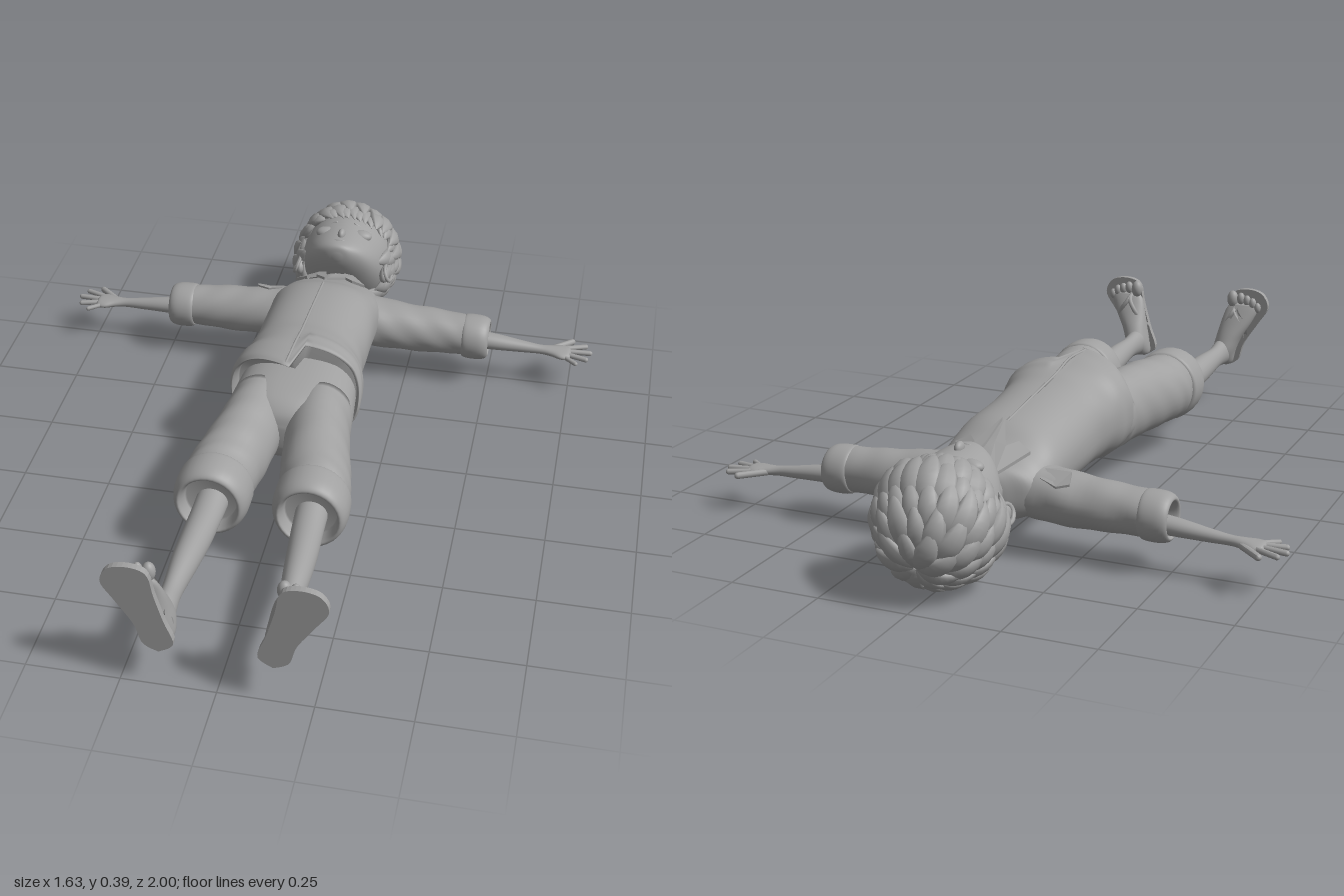
import * as THREE from 'three';

const V = (x, y, z) => new THREE.Vector3(x, y, z);
const clamp = THREE.MathUtils.clamp;

// Turn a closed geometry's faces outward (needed after mirroring)
function outward(geo) {
  const p = geo.attributes.position, ix = geo.index.array;
  const a = V(), b = V(), c = V();
  let vol = 0;
  for (let i = 0; i < ix.length; i += 3) {
    a.fromBufferAttribute(p, ix[i]);
    b.fromBufferAttribute(p, ix[i + 1]);
    c.fromBufferAttribute(p, ix[i + 2]);
    vol += a.dot(b.cross(c));
  }
  if (vol < 0) for (let i = 0; i < ix.length; i += 3) [ix[i], ix[i + 1]] = [ix[i + 1], ix[i]];
  geo.computeVertexNormals();
  return geo;
}

// Skin closed rings of points, with capped ends
function skin(rings) {
  const n = rings[0].length, pos = [], idx = [];
  rings.forEach(r => r.forEach(p => pos.push(p.x, p.y, p.z)));
  for (let i = 0; i < rings.length - 1; i++) for (let j = 0; j < n; j++) {
    const a = i * n + j, b = i * n + (j + 1) % n;
    idx.push(a, b, a + n, b, b + n, a + n);
  }
  [0, rings.length - 1].forEach((k, end) => {
    const mid = rings[k].reduce((s, p) => s.add(p), V()).divideScalar(n);
    const m = pos.length / 3;
    pos.push(mid.x, mid.y, mid.z);
    for (let j = 0; j < n; j++) {
      const a = k * n + j, b = k * n + (j + 1) % n;
      end ? idx.push(a, b, m) : idx.push(b, a, m);
    }
  });
  const g = new THREE.BufferGeometry();
  g.setAttribute('position', new THREE.Float32BufferAttribute(pos, 3));
  g.setIndex(idx);
  return outward(g);
}

// Smooth loft through sections [x, y, z, ru, rv]; axis is the direction of travel
function loft(axis, secs, { n = 32, e = 1, warp, fold = 0 } = {}) {
  const mid = new THREE.CatmullRomCurve3(secs.map(s => V(s[0], s[1], s[2])), false, 'catmullrom', 0.5);
  const rad = new THREE.CatmullRomCurve3(secs.map(s => V(s[3], s[4], 0)), false, 'catmullrom', 0.5);
  const steps = (secs.length - 1) * 5, rings = [];
  const pw = v => Math.sign(v) * Math.abs(v) ** e;
  for (let i = 0; i <= steps; i++) {
    const c = mid.getPoint(i / steps), r = rad.getPoint(i / steps), ring = [];
    for (let j = 0; j < n; j++) {
      const t = j / n * Math.PI * 2;
      const k = 1 + fold * Math.sin(i * 0.9 + 3 * Math.sin(t)) * Math.sin(2 * t + i * 0.3);
      const u = pw(Math.cos(t)) * r.x * k, v = pw(Math.sin(t)) * r.y * k;
      const p = c.clone().add(axis === 'z' ? V(u, v, 0) : axis === 'x' ? V(0, v, u) : V(u, 0, v));
      if (warp) warp(p);
      ring.push(p);
    }
    rings.push(ring);
  }
  return skin(rings);
}

const ball = (x, y, z, a, b, c) => new THREE.SphereGeometry(1, 20, 14).scale(a, b, c).translate(x, y, z);
const tube = (pts, r) => new THREE.TubeGeometry(new THREE.CatmullRomCurve3(pts), 24, r, 8);

function capsule(a, b, r) {
  const d = b.clone().sub(a), g = new THREE.CapsuleGeometry(r, d.length(), 6, 10);
  g.applyQuaternion(new THREE.Quaternion().setFromUnitVectors(V(0, 1, 0), d.normalize()));
  const m = a.clone().lerp(b, 0.5);
  return g.translate(m.x, m.y, m.z);
}

// Thin plate outlined in x and z, draped on a height rule
function drape(pts, height, thick) {
  const g = new THREE.ExtrudeGeometry(new THREE.Shape(pts.map(p => new THREE.Vector2(p[0], -p[1]))), { depth: thick, bevelEnabled: false });
  g.rotateX(-Math.PI / 2);
  const p = g.attributes.position;
  for (let i = 0; i < p.count; i++) p.setY(i, p.getY(i) + height(p.getX(i), p.getZ(i)));
  g.setIndex([...Array(p.count).keys()]);
  return outward(g);
}

// One leaf-shaped hair lock following the skull away from the crown
const hairMid = V(0, 0.185, -0.82), crown = V(0, -0.5, -0.866), crownUp = V(0, 0.866, -0.5);
function scalp(th, ph, k) {
  const d = crown.clone().multiplyScalar(Math.cos(th))
    .addScaledVector(crownUp, Math.sin(th) * Math.cos(ph)).addScaledVector(V(1, 0, 0), Math.sin(th) * Math.sin(ph));
  return d.multiply(V(0.15, 0.155, 0.155)).multiplyScalar(k).add(hairMid);
}
const hairy = p => p.z < (p.y > 0.25 ? -0.785 : p.y > 0.15 ? -0.715 : -0.665);
function lock(th0, th1, ph, width, lift) {
  const at = t => scalp(th0 + (th1 - th0) * t, ph + 0.22 * t * t, 0.96 + lift * Math.sin(t * 1.9));
  const rings = [];
  for (let i = 0; i <= 9; i++) {
    const t = i / 9, c = at(t), out = c.clone().sub(hairMid).normalize();
    const side = at(t + 0.02).sub(c).cross(out).normalize();
    const w = width * Math.max(0.03, Math.sin(Math.PI * (0.18 + 0.82 * t)) ** 0.8);
    rings.push([...Array(8).keys()].map(j => {
      const a = j * Math.PI / 4;
      return c.clone().addScaledVector(side, Math.cos(a) * w).addScaledVector(out, Math.sin(a) * w * 0.5);
    }));
  }
  return skin(rings);
}

export function createModel() {
  const model = new THREE.Group();
  const clay = new THREE.MeshStandardMaterial({ color: 0xa0a0a0 });
  clay.name = 'plain grey';
  const add = (name, geo) => {
    const m = new THREE.Mesh(geo, clay);
    m.name = name;
    model.add(m);
  };
  const pair = (name, geo) => {
    add(name + 'Left', geo);
    add(name + 'Right', outward(geo.clone().scale(-1, 1, 1)));
  };

  // Head, neck and face
  add('head', loft('z', [[0, .19, -.965, .03, .03], [0, .19, -.945, .085, .085], [0, .19, -.9, .125, .13], [0, .19, -.82, .14, .145],
    [0, .2, -.75, .13, .137], [0, .23, -.7, .113, .108], [0, .268, -.66, .083, .07], [0, .295, -.635, .043, .038], [0, .3, -.627, .01, .01]], { n: 40 }));
  add('neck', loft('z', [[0, .2, -.72, .045, .045], [0, .19, -.64, .037, .038], [0, .185, -.59, .04, .04], [0, .185, -.54, .07, .06]]));
  add('nose', ball(0, .338, -.703, .012, .018, .02));
  add('upperLip', ball(0, .332, -.668, .02, .009, .005));
  add('lowerLip', ball(0, .328, -.658, .015, .009, .005));
  pair('eyelid', ball(.055, .312, -.748, .034, .018, .023));
  pair('brow', capsule(V(.03, .333, -.782), V(.08, .306, -.78), .004));
  pair('ear', ball(.135, .19, -.735, .016, .026, .036));
  pair('earRim', new THREE.TorusGeometry(.025, .006, 8, 20).scale(1, 1.3, 1).rotateX(Math.PI / 2).rotateZ(-1.2).translate(.146, .195, -.737));

  // Hair in overlapping rows from the crown outward
  const rad = Math.PI / 180;
  [[2, 45, 9, .026, .13], [22, 68, 15, .028, .13], [45, 92, 20, .029, .13], [66, 114, 22, .029, .13], [88, 135, 22, .027, .12], [104, 146, 20, .024, .11]]
    .forEach(([a, b, count, w, lift], row) => {
      for (let i = 0; i < count; i++) {
        const ph = (i + row * 0.5) / count * Math.PI * 2, vary = Math.sin(i * 7.3 + row * 2.1);
        let end = b + vary * 6;
        while (end > a + 12 && !hairy(scalp(end * rad, ph + .22, 1.05))) end -= 2;
        if (end > a + 13) add('hairLock', lock(a * rad, end * rad, ph, w * (1 + vary * .15), lift + vary * .02));
      }
    });

  // Shirt body with a longer right front panel
  add('shirt', loft('z', [[0, .185, -.605, .045, .045], [0, .182, -.585, .09, .068], [0, .18, -.555, .145, .085], [0, .19, -.5, .163, .102], [0, .212, -.4, .164, .122],
    [0, .227, -.2, .164, .128], [0, .235, -.1, .17, .138], [0, .24, -.03, .187, .149], [0, .24, .02, .188, .15], [0, .24, .028, .18, .143], [0, .235, -.02, .17, .13]], {
    n: 64, e: .88, fold: .012,
    warp: p => {
      const w = THREE.MathUtils.smoothstep(p.z, -.12, .02), f = clamp((p.y - .22) / .1, 0, 1);
      p.z += w * f * (p.x < .004 ? .078 * clamp(1 + p.x / .17, 0, 1) : -.035);
    }
  }));
  add('placket', tube([V(-.006, .328, -.43), V(-.006, .352, -.25), V(-.006, .372, -.1), V(-.006, .389, -.02), V(-.012, .388, .09)], .004));
  for (let i = 0; i < 5; i++) {
    const z = -.38 + i * .09;
    add('button', new THREE.CylinderGeometry(.007, .007, .006, 14).translate(-.022, .362 + z * .09 + (z > -.1 ? .01 : 0), z));
  }

  // Collar flaps and band
  pair('collarFlap', drape([[.03, -.61], [.055, -.612], [.108, -.51], [.07, -.498], [.045, -.525], [.004, -.44], [.012, -.52]],
    (x, z) => .302 + (z + .5) * .5 - 2 * x * x, .009));
  add('collarBand', new THREE.TorusGeometry(.056, .012, 10, 32).scale(1, .95, 1.6).rotateX(-.25).translate(0, .188, -.592));

  // Sleeves, rolled cuffs, forearms
  pair('sleeve', loft('x', [[.08, .175, -.488, .08, .075], [.16, .168, -.492, .081, .075], [.26, .16, -.495, .072, .07], [.36, .157, -.495, .066, .066], [.45, .155, -.495, .06, .06]], { fold: .03 }));
  pair('sleeveCuff', loft('x', [[.42, .153, -.495, .05, .05], [.422, .153, -.495, .064, .064], [.44, .152, -.495, .069, .068], [.475, .151, -.495, .068, .067],
    [.495, .15, -.496, .06, .06], [.497, .149, -.498, .048, .048], [.46, .145, -.5, .042, .042]]));
  add('shoulderPatch', drape([[-.235, -.55], [-.2, -.558], [-.15, -.545], [-.15, -.51], [-.19, -.497], [-.225, -.51]],
    (x, z) => .166 + .072 * Math.sqrt(1 - ((z + .493) / .08) ** 2), .006));
  pair('forearm', loft('x', [[.44, .138, -.505, .03, .028], [.52, .133, -.507, .027, .024], [.6, .126, -.509, .019, .018], [.655, .122, -.51, .015, .014], [.69, .12, -.511, .022, .014],
    [.72, .118, -.511, .034, .014], [.742, .117, -.51, .031, .012], [.75, .117, -.51, .02, .006]]));

  // Spread fingers: base x, base z, tip x, tip z, radius
  [[.69, -.525, .75, -.577, .0095], [.735, -.536, .792, -.558, .008], [.742, -.519, .807, -.525, .008], [.74, -.502, .797, -.488, .008], [.732, -.488, .768, -.46, .007]]
    .forEach(f => pair('finger', capsule(V(f[0], .118, f[1]), V(f[2], .116, f[3]), f[4])));

  // Trousers with rolled cuffs
  add('trouserSeat', loft('z', [[0, .215, -.06, .165, .105], [0, .212, .02, .172, .11], [0, .21, .09, .175, .11], [0, .21, .15, .15, .1], [0, .21, .19, .09, .07], [0, .21, .205, .03, .03]], { n: 40, e: .85 }));
  pair('trouserLeg', loft('z', [[.088, .21, .06, .085, .105], [.094, .21, .15, .09, .109], [.106, .207, .25, .094, .107], [.122, .204, .34, .099, .104], [.131, .2, .4, .097, .103], [.133, .198, .45, .09, .098]], { fold: .018 }));
  pair('trouserCuff', loft('z', [[.133, .2, .415, .08, .085], [.133, .2, .42, .1, .103], [.134, .199, .44, .104, .108], [.135, .198, .485, .103, .107], [.136, .197, .512, .093, .098],
    [.136, .196, .514, .08, .084], [.136, .19, .47, .07, .074]]));

  // Bare legs and feet
  pair('leg', loft('z', [[.135, .178, .43, .045, .045], [.138, .173, .53, .043, .04], [.143, .17, .63, .041, .044], [.147, .175, .73, .036, .041], [.15, .178, .84, .027, .034],
    [.15, .18, .9, .029, .04], [.15, .178, .955, .034, .045]]));
  pair('foot', loft('y', [[.144, .132, .955, .015, .018], [.146, .142, .95, .032, .035], [.152, .18, .94, .037, .05], [.165, .225, .945, .041, .042], [.185, .275, .957, .05, .03],
    [.2, .315, .968, .053, .02], [.207, .335, .972, .045, .012]], { warp: p => { p.z = Math.min(p.z, .984); } }));
  [[.168, .35, .018], [.196, .353, .013], [.217, .348, .012], [.236, .34, .012], [.253, .327, .011]]
    .forEach(t => pair('toe', ball(t[0], t[1], .968, t[2], t[2] * 1.5, t[2])));

  // Thong sandals
  const outline = new THREE.SplineCurve([[.145, .118], [.185, .14], [.205, .2], [.25, .27], [.283, .325], [.262, .37], [.21, .382], [.165, .365], [.15, .3], [.128, .22], [.106, .15], [.145, .118]]
    .map(p => new THREE.Vector2(...p)));
  const sole = new THREE.ExtrudeGeometry(new THREE.Shape(outline.getPoints(48)), { depth: .018, bevelEnabled: false }).translate(0, 0, .982);
  sole.setIndex([...Array(sole.attributes.position.count).keys()]);
  pair('sandalSole', sole);
  pair('innerStrap', tube([V(.184, .335, .975), V(.182, .318, .94), V(.158, .275, .935), V(.135, .225, .983)], .007));
  pair('outerStrap', tube([V(.184, .335, .975), V(.188, .318, .94), V(.215, .275, .938), V(.21, .22, .983)], .007));

  return model;
}
